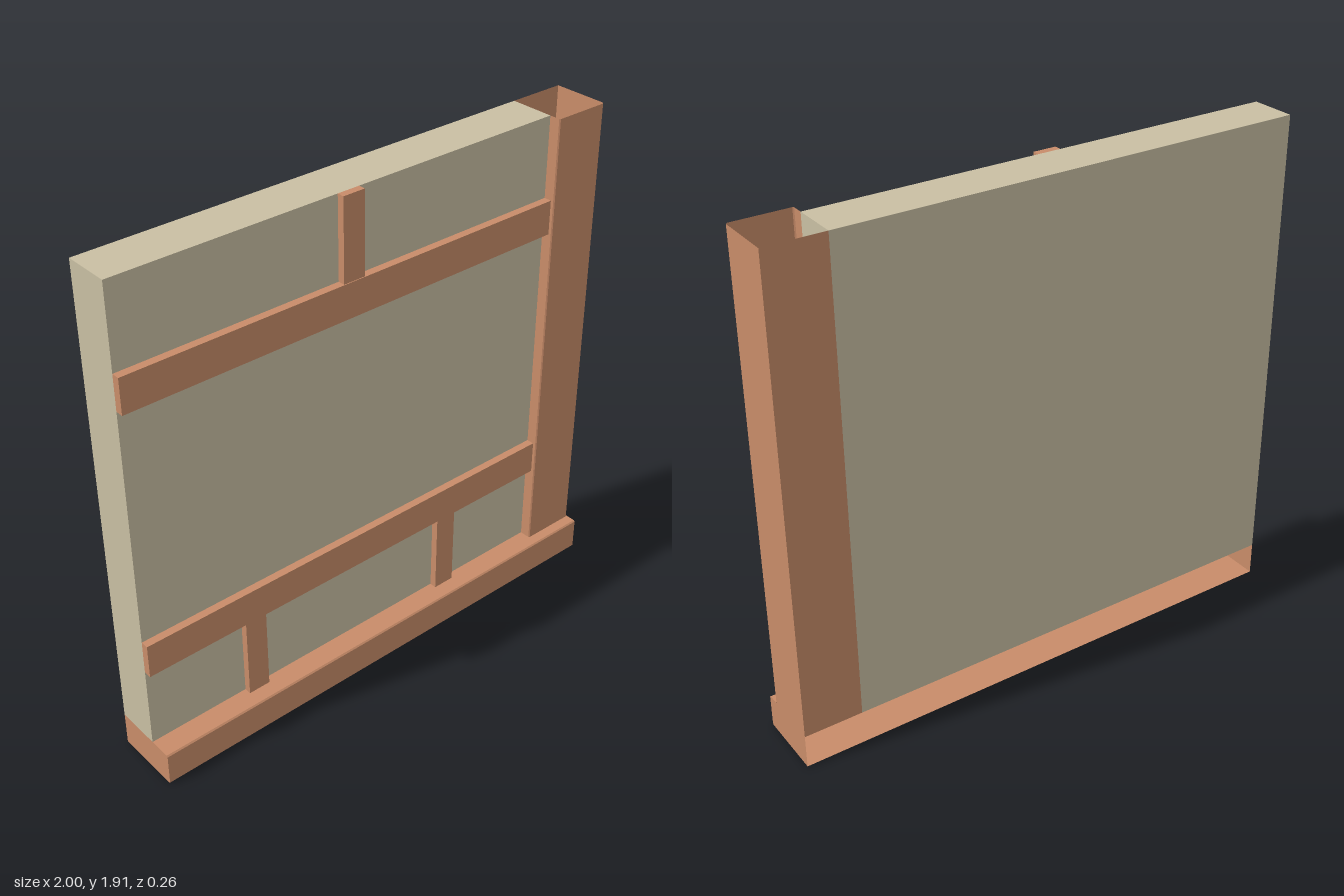
import * as THREE from 'three';

const timber = new THREE.MeshStandardMaterial({ color: 0xc88c69, side: THREE.DoubleSide, flatShading: true });
const plaster = new THREE.MeshStandardMaterial({ color: 0xc9bfa3, side: THREE.DoubleSide, flatShading: true });

const TOP = 1.91, SILL = 0.13, BACK = -0.13, FACE = 0.042, POST_X = 0.78;

// Box given by its limits on each axis
function block(name, x0, x1, y0, y1, z0, z1, material) {
  const mesh = new THREE.Mesh(new THREE.BoxGeometry(x1 - x0, y1 - y0, z1 - z0), material);
  mesh.position.set((x0 + x1) / 2, (y0 + y1) / 2, (z0 + z1) / 2);
  mesh.name = name;
  return mesh;
}

// Open sheet: an outline swept between two ends; place(a, b, t) gives the point
function sheet(name, outline, t0, t1, place) {
  const pos = [];
  for (let i = 0; i < outline.length - 1; i++) {
    const [a, b] = [outline[i], outline[i + 1]];
    const p = [place(...a, t0), place(...b, t0), place(...b, t1), place(...a, t1)];
    for (const k of [0, 2, 1, 0, 3, 2]) pos.push(...p[k]);
  }
  const geo = new THREE.BufferGeometry();
  geo.setAttribute('position', new THREE.Float32BufferAttribute(pos, 3));
  geo.computeVertexNormals();
  const mesh = new THREE.Mesh(geo, timber);
  mesh.name = name;
  return mesh;
}

export function createModel() {
  const model = new THREE.Group();
  model.name = 'timberFramedWall';

  // Infill panel
  model.add(block('wallPanel', -1, POST_X, SILL, TOP, BACK, FACE, plaster));

  // Horizontal rails
  for (const [y0, y1] of [[0.45, 0.58], [1.475, 1.605]])
    model.add(block('rail', -1, POST_X, y0, y1, FACE, 0.072, timber));

  // Short studs above and below the rails
  for (const [x, y0, y1] of [[-0.1125, 1.605, TOP], [-0.5625, SILL, 0.45], [0.3275, SILL, 0.45]])
    model.add(block('stud', x - 0.043, x + 0.043, y0, y1, FACE, 0.069, timber));

  // Hollow corner post, open at top and bottom, with small front bevels
  const postPlan = [[POST_X, BACK], [1, BACK], [1, 0.081], [0.994, 0.087],
    [POST_X + 0.004, 0.087], [POST_X, 0.083], [POST_X, FACE]];
  model.add(sheet('cornerPost', postPlan, SILL, TOP, (x, z, y) => [x, y, z]));

  // Sill beam, open at the back: floor, bevelled front and top ledge
  const sill = new THREE.Group();
  sill.name = 'sillBeam';
  const section = [[BACK, 0], [0.126, 0], [0.131, 0.005], [0.131, SILL - 0.005], [0.126, SILL], [0.087, SILL]];
  const alongX = (z, y, x) => [x, y, z];
  sill.add(sheet('sillShell', section, -1, 1, alongX));
  sill.add(sheet('sillLedge', [[0.087, SILL], [FACE, SILL]], -1, POST_X, alongX));

  // Sill end caps
  const capShape = new THREE.Shape([...section, [BACK, SILL]].map(([z, y]) => new THREE.Vector2(-z, y)));
  for (const side of [-1, 1]) {
    const cap = new THREE.Mesh(new THREE.ShapeGeometry(capShape), timber);
    cap.rotation.y = Math.PI / 2;
    cap.position.x = side;
    cap.name = 'sillEnd';
    sill.add(cap);
  }
  model.add(sill);
  return model;
}
